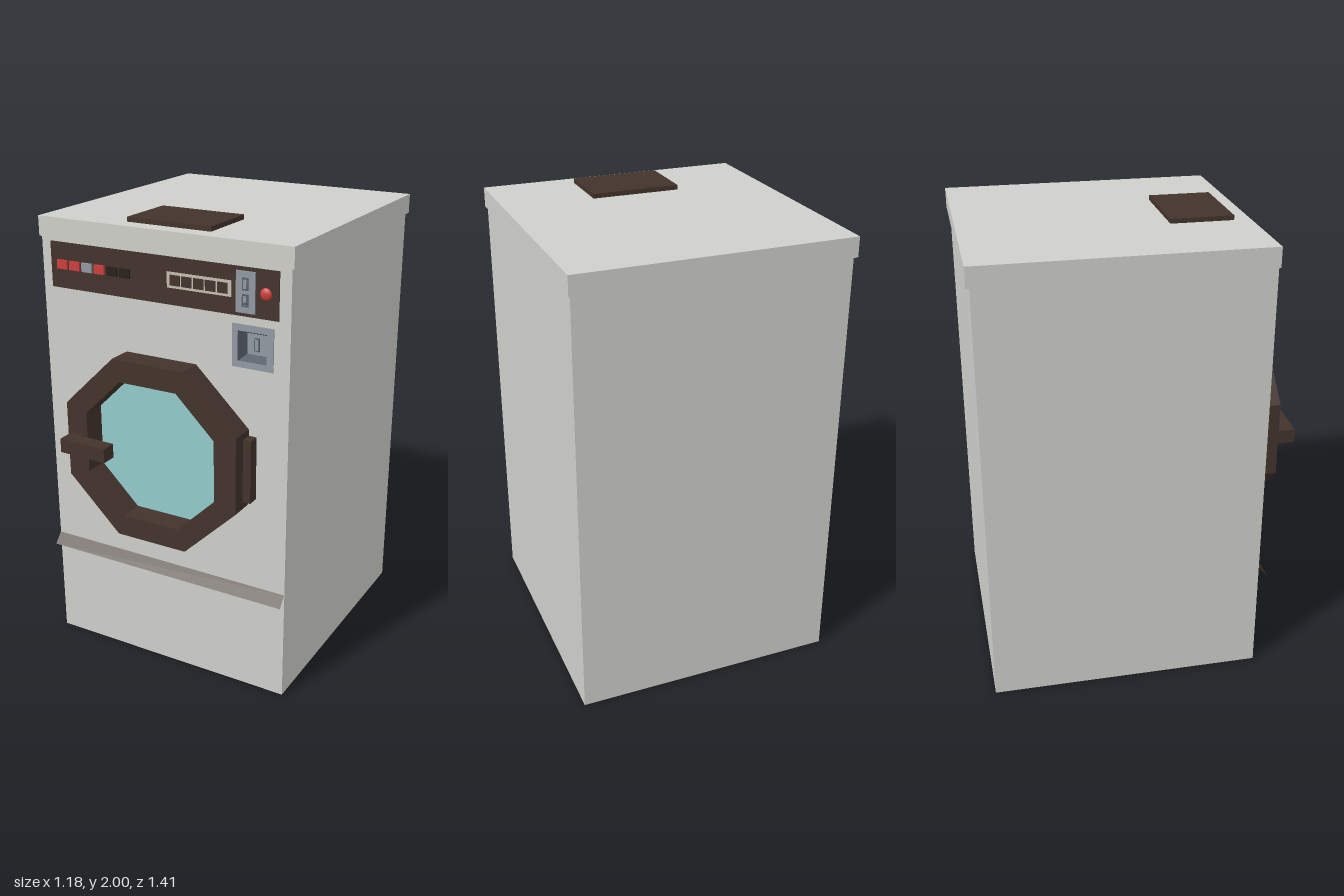
import * as THREE from 'three';

const mat = (name, color, side = THREE.FrontSide) => {
  const m = new THREE.MeshStandardMaterial({ color, side });
  m.name = name;
  return m;
};

export function createModel() {
  const enamel = mat('enamel', 0xcfd0ca);
  const brown = mat('brown', 0x43332b, THREE.DoubleSide);
  const black = mat('nearBlack', 0x2a211d);
  const glass = mat('glass', 0x92cbca);
  const red = mat('red', 0xcc3f3d);
  const steel = mat('steel', 0x9299a3);
  const darkSteel = mat('darkSteel', 0x5a606b, THREE.DoubleSide);
  const cream = mat('cream', 0xc4bdb0);

  const model = new THREE.Group();
  const add = (name, geometry, material, parent = model) => {
    const mesh = new THREE.Mesh(geometry, material);
    mesh.name = name;
    parent.add(mesh);
    return mesh;
  };
  const group = (name) => {
    const g = new THREE.Group();
    g.name = name;
    model.add(g);
    return g;
  };
  // Box given by its limits on each axis
  const box = (name, material, [x0, x1], [y0, y1], [z0, z1], parent) => {
    const g = new THREE.BoxGeometry(x1 - x0, y1 - y0, z1 - z0);
    g.translate((x0 + x1) / 2, (y0 + y1) / 2, (z0 + z1) / 2);
    return add(name, g, material, parent);
  };
  const poly = (points) => points.map(([x, y]) => new THREE.Vector2(x, y));
  const extrude = (shape, depth, z) => {
    const g = new THREE.ExtrudeGeometry(shape, { depth, bevelEnabled: false });
    return g.translate(0, 0, z);
  };

  // Cabinet, its front panel (with a coin return opening) and the lid
  const FRONT = 0.505;
  box('cabinet', enamel, [-0.58, 0.58], [0, 1.9], [-0.69, 0.445]);
  const front = new THREE.Shape(poly([[-0.58, 0], [0.58, 0], [0.58, 1.9], [-0.58, 1.9]]));
  front.holes.push(new THREE.Path(poly([[0.353, 1.5], [0.353, 1.625], [0.48, 1.625], [0.48, 1.5]])));
  add('frontPanel', extrude(front, 0.06, 0.445), enamel);
  box('lid', enamel, [-0.59, 0.59], [1.895, 1.98], [-0.705, 0.51]);
  box('topPlate', brown, [-0.195, 0.195], [1.98, 2.0], [0.165, 0.437]);

  // Sloping trim strip, an open sheet
  const strip = new THREE.PlaneGeometry(1.16, Math.hypot(0.045, 0.04));
  strip.rotateX(-Math.atan2(0.04, 0.045)).translate(0, 0.478, 0.526);
  add('trimStrip', strip, brown);

  // Control panel with selector buttons
  const controls = group('controlPanel');
  box('panelPlate', brown, [-0.535, 0.53], [1.685, 1.88], [FRONT, 0.509], controls);
  [red, red, steel, red, black, black].forEach((m, i) => {
    const x = -0.475 + i * 0.062;
    box('selectorButton', m, [x - 0.025, x + 0.025], [1.768, 1.806], [FRONT, 0.518], controls);
  });

  // Display with five dark windows
  box('displayFrame', cream, [0.035, 0.325], [1.755, 1.82], [FRONT, 0.512], controls);
  for (let i = 0; i < 5; i++) {
    const x = 0.073 + i * 0.0535;
    box('displayWindow', brown, [x - 0.023, x + 0.023], [1.766, 1.809], [FRONT, 0.515], controls);
  }

  // Coin slot and start button
  box('coinPlate', steel, [0.347, 0.43], [1.7, 1.865], [FRONT, 0.515], controls);
  for (const [y0, y1] of [[1.725, 1.775], [1.79, 1.84]]) {
    box('coinSlotRim', darkSteel, [0.375, 0.402], [y0, y1], [FRONT, 0.518], controls);
    box('coinSlot', steel, [0.382, 0.395], [y0 + 0.007, y1 - 0.007], [FRONT, 0.52], controls);
  }
  box('coinLever', darkSteel, [0.38, 0.397], [1.737, 1.744], [FRONT, 0.53], controls);
  const knob = new THREE.SphereGeometry(0.025, 16, 10);
  knob.scale(1, 1, 0.5).translate(0.475, 1.785, 0.51);
  add('startButton', knob, red, controls);

  // Recessed coin return with sloping walls
  const coinReturn = group('coinReturn');
  const surround = new THREE.Shape(poly([[0.328, 1.475], [0.51, 1.475], [0.51, 1.652], [0.328, 1.652]]));
  surround.holes.push(new THREE.Path(poly([[0.353, 1.5], [0.353, 1.625], [0.48, 1.625], [0.48, 1.5]])));
  add('returnSurround', extrude(surround, 0.004, FRONT), steel, coinReturn);
  const walls = new THREE.CylinderGeometry(0.0635 * Math.SQRT2, 0.043 * Math.SQRT2, 0.045, 4, 1, true).toNonIndexed();
  walls.computeVertexNormals();
  walls.rotateY(Math.PI / 4).rotateX(Math.PI / 2).translate(0.4165, 1.5625, 0.485);
  add('returnWalls', walls, darkSteel, coinReturn);
  box('returnFlap', steel, [0.373, 0.46], [1.519, 1.606], [0.456, 0.463], coinReturn);
  box('returnLatchRim', darkSteel, [0.405, 0.428], [1.535, 1.59], [0.463, 0.468], coinReturn);
  box('returnLatch', steel, [0.41, 0.423], [1.54, 1.585], [0.463, 0.471], coinReturn);

  // Octagonal door
  const door = group('door');
  const octagon = (w, h, c) => poly([[c, h], [-c, h], [-w, c], [-w, -c], [-c, -h], [c, -h], [w, -c], [w, c]]);
  const ring = new THREE.Shape(octagon(0.41, 0.402, 0.167));
  ring.holes.push(new THREE.Path(octagon(0.31, 0.306, 0.135)));
  add('doorFrame', extrude(ring, 0.11, FRONT).translate(-0.005, 1.05, 0), brown, door);
  const pane = extrude(new THREE.Shape(octagon(0.315, 0.31, 0.137)), 0.004, FRONT);
  add('doorGlass', pane.translate(-0.005, 1.05, 0), glass, door);
  box('doorHinge', brown, [0.39, 0.44], [0.915, 1.19], [FRONT, 0.555], door);

  // Bent handle, drawn in plan and extruded upwards
  const plan = new THREE.Shape(poly([
    [-0.397, -0.61], [-0.397, -0.697], [-0.17, -0.703], [-0.17, -0.635], [-0.337, -0.63], [-0.337, -0.61],
  ]));
  const handle = extrude(plan, 0.062, 0).rotateX(-Math.PI / 2).translate(0, 1.02, 0);
  add('doorHandle', handle, brown, door);

  return model;
}
